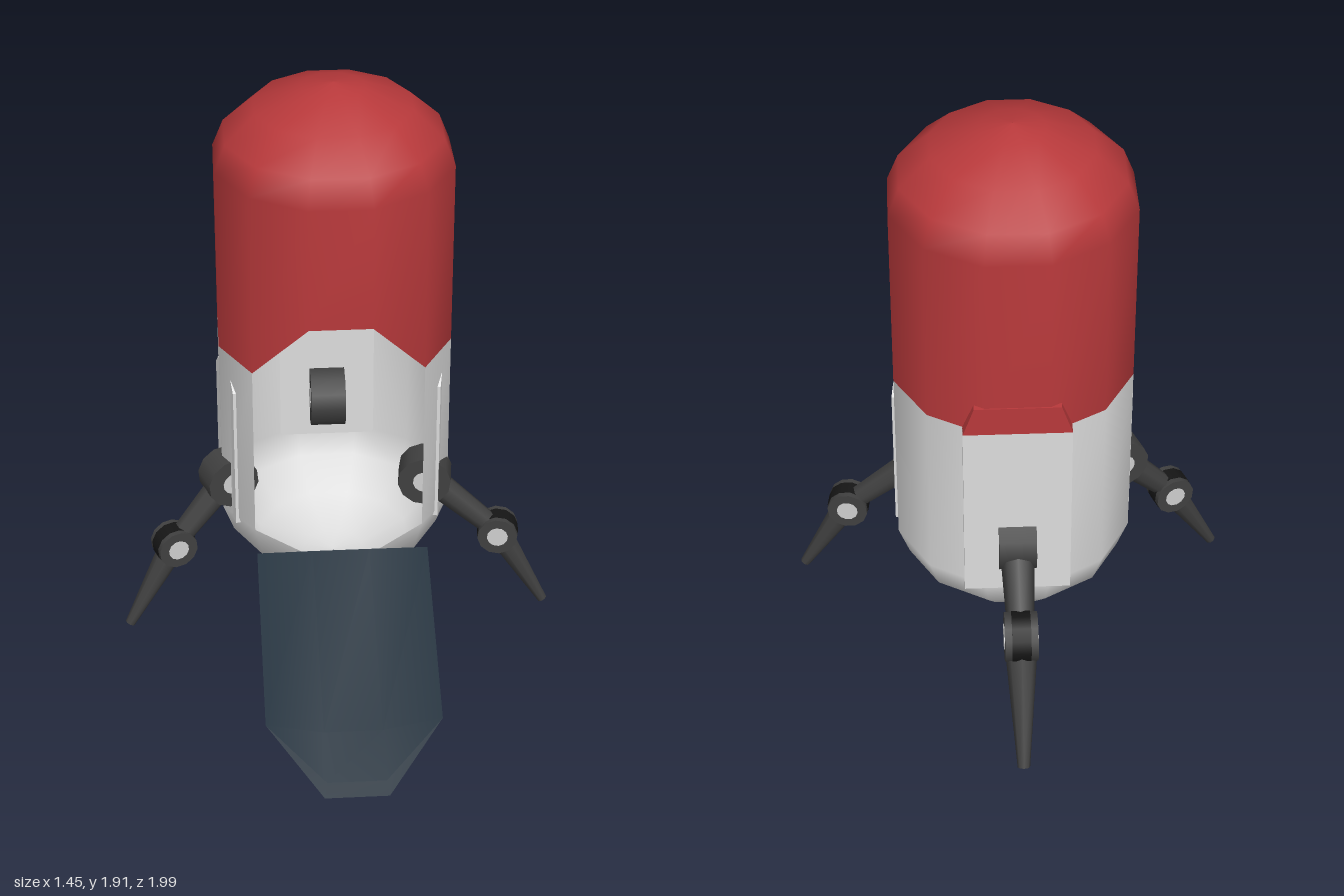
import * as THREE from 'three';

const mat = (name, color, side = THREE.FrontSide) => {
  const m = new THREE.MeshStandardMaterial({ color, side });
  m.name = name;
  return m;
};

export function createModel() {
  const root = new THREE.Group();
  root.name = 'landingPod';
  const red = mat('red', 0xb8393b, THREE.DoubleSide);
  const white = mat('white', 0xdcdcdc, THREE.DoubleSide);
  const navy = mat('navy', 0x22313d, THREE.DoubleSide);
  const dark = mat('darkGrey', 0x404040);
  const black = mat('black', 0x161616);
  const hubGrey = mat('hubGrey', 0xcfcfcf);

  const add = (name, geo, material, parent = root) => {
    const m = new THREE.Mesh(geo, material);
    m.name = name;
    parent.add(m);
    return m;
  };

  // Point on the twelve-sided body; r is the flat-to-centre radius
  const CZ = -0.16, R = 0.38;
  const onBody = (deg, r, y) => {
    const a = THREE.MathUtils.degToRad(deg), c = r / Math.cos(Math.PI / 12);
    return [c * Math.sin(a), y, CZ + c * Math.cos(a)];
  };

  // Smooth surface through a grid of points, optionally closed round, with skipped cells
  const grid = (cols, rows, point, closed = false, skip = () => false) => {
    const pos = [], idx = [];
    for (let r = 0; r < rows; r++) for (let c = 0; c < cols; c++) pos.push(...point(c, r));
    for (let r = 0; r < rows - 1; r++) {
      for (let c = 0; c < (closed ? cols : cols - 1); c++) {
        if (skip(c, r)) continue;
        const n = (c + 1) % cols, a = r * cols + c, b = r * cols + n;
        idx.push(a, b, b + cols, a, b + cols, a + cols);
      }
    }
    const g = new THREE.BufferGeometry();
    g.setAttribute('position', new THREE.Float32BufferAttribute(pos, 3));
    g.setIndex(idx);
    g.computeVertexNormals();
    return g;
  };

  // Columns 11 and 0 flank the front face, 10 and 1 bound the doorway
  const SEAM = 1.03, TIP = 1.24;
  const isMid = c => c === 0 || c === 11;
  const isEdge = c => c === 1 || c === 10;

  // Red upper hull with the angled top of the doorway
  const upper = [[R, SEAM], [R, 1.66], [0.345, 1.75], [0.25, 1.84], [0.1, 1.9], [0.001, 1.915]];
  add('upperHull', grid(12, upper.length, (c, r) =>
    onBody(15 + 30 * c, upper[r][0], r === 0 && isMid(c) ? TIP : upper[r][1]), true), red);

  // White lower hull, open at the three front faces
  const lower = [[0.001, 0.13], [0.1, 0.14], [0.25, 0.2], [0.345, 0.3], [R, 0.4], [R, SEAM]];
  add('lowerHull', grid(12, lower.length, (c, r) => {
    const sill = isMid(c) ? 0.38 : isEdge(c) ? 0.42 : 0.4;
    return onBody(15 + 30 * c, lower[r][0], r === 4 ? sill : lower[r][1]);
  }, true, (c, r) => r === 4 && c !== 0 && (c >= 10) || (r === 4 && c === 0)), white);

  // Door: the missing hull faces swung down about the sill
  const hinge = new THREE.Group();
  hinge.name = 'door';
  hinge.position.set(0, 0.38, 0.22);
  hinge.rotation.x = 2.024;
  root.add(hinge);
  const doorCols = [-45, -15, 15, 45];
  const doorPoint = (c, level, inner) => {
    const mid = c === 1 || c === 2;
    const y = [mid ? 0.38 : 0.42, SEAM, mid ? TIP : SEAM][level];
    const inset = inner && mid ? 0.03 : 0;
    const p = onBody(doorCols[c], R - inset, y);
    if (level === 2) p[1] -= inset * 1.3;
    return [p[0], p[1] - 0.38, p[2] - 0.22];
  };
  add('doorOuter', grid(4, 2, (c, r) => doorPoint(c, r, false)), white, hinge);
  add('doorTip', grid(4, 2, (c, r) => doorPoint(c, r + 1, false)), red, hinge);
  add('doorLining', grid(4, 3, (c, r) => doorPoint(3 - c, r, true)), navy, hinge);
  for (const level of [0, 2]) {
    add('doorRim', grid(4, 2, (c, r) => doorPoint(c, level, r === (level ? 1 : 0))), navy, hinge);
  }

  // Leg housing plates let into the hull
  const plate = (name, pts, angle, dist, depth, material) => {
    const shape = new THREE.Shape(pts.map(p => new THREE.Vector2(...p)));
    const g = new THREE.ExtrudeGeometry(shape, { depth, bevelEnabled: false });
    g.translate(0, 0, dist - depth);
    const m = add(name, g, material);
    m.position.z = CZ;
    m.rotation.y = angle;
  };
  plate('rearPlate', [[-0.17, 0.39], [0.17, 0.39], [0.17, SEAM], [-0.17, SEAM]], Math.PI, 0.384, 0.04, white);
  plate('rearPlateTop', [[-0.17, SEAM], [0.17, SEAM], [0.135, 1.13], [-0.135, 1.13]], Math.PI, 0.384, 0.04, red);
  for (const s of [-1, 1]) {
    plate('sidePlate', [[-0.11, 0.39], [0.11, 0.39], [0.11, 0.9], [0.08, 0.935], [-0.08, 0.935], [-0.11, 0.9]],
      s * THREE.MathUtils.degToRad(77), 0.374, 0.03, white);
  }

  // Tapered limb between two points
  const Y = new THREE.Vector3(0, 1, 0);
  const limb = (name, a, b, ra, rb, parent) => {
    const d = b.clone().sub(a);
    const m = add(name, new THREE.CylinderGeometry(rb, ra, d.length(), 8), dark, parent);
    m.position.copy(a).addScaledVector(d, 0.5);
    m.quaternion.setFromUnitVectors(Y, d.normalize());
  };
  const disc = (name, p, axis, r, h, material, parent) => {
    const m = add(name, new THREE.CylinderGeometry(r, r, h, 12), material, parent);
    m.position.copy(p);
    m.quaternion.setFromUnitVectors(Y, axis);
  };

  // Jointed leg: hip, knee and foot points, with an overall thickness
  const leg = (name, hipP, kneeP, footP, s) => {
    const g = new THREE.Group();
    g.name = name;
    root.add(g);
    const [hip, knee, foot] = [hipP, kneeP, footP].map(p => new THREE.Vector3(...p));
    const axis = foot.clone().sub(hip).setY(0).normalize().cross(Y).normalize();
    disc('hipJoint', hip, axis, 0.105 * s, 0.12 * s, dark, g);
    disc('hipHub', hip, axis, 0.045 * s, 0.124 * s, hubGrey, g);
    limb('upperLeg', hip, knee, 0.058 * s, 0.042 * s, g);
    disc('kneeBand', knee, axis, 0.082 * s, 0.06 * s, black, g);
    for (const k of [-1, 1]) {
      disc('kneeDisc', knee.clone().addScaledVector(axis, k * 0.04 * s), axis, 0.08 * s, 0.025 * s, dark, g);
    }
    disc('kneeHub', knee, axis, 0.042 * s, 0.109 * s, hubGrey, g);
    limb('lowerLeg', knee, foot, 0.055 * s, 0.02 * s, g);
  };
  leg('rearLeg', [0, 0.56, -0.49], [0, 0.39, -0.77], [0, 0.02, -0.982], 1);
  leg('leftLeg', [0.3, 0.52, -0.03], [0.55, 0.3, 0], [0.712, 0.018, 0.02], 0.85);
  leg('rightLeg', [-0.36, 0.52, -0.06], [-0.55, 0.305, 0.015], [-0.71, 0.02, 0.07], 0.85);

  return root;
}
